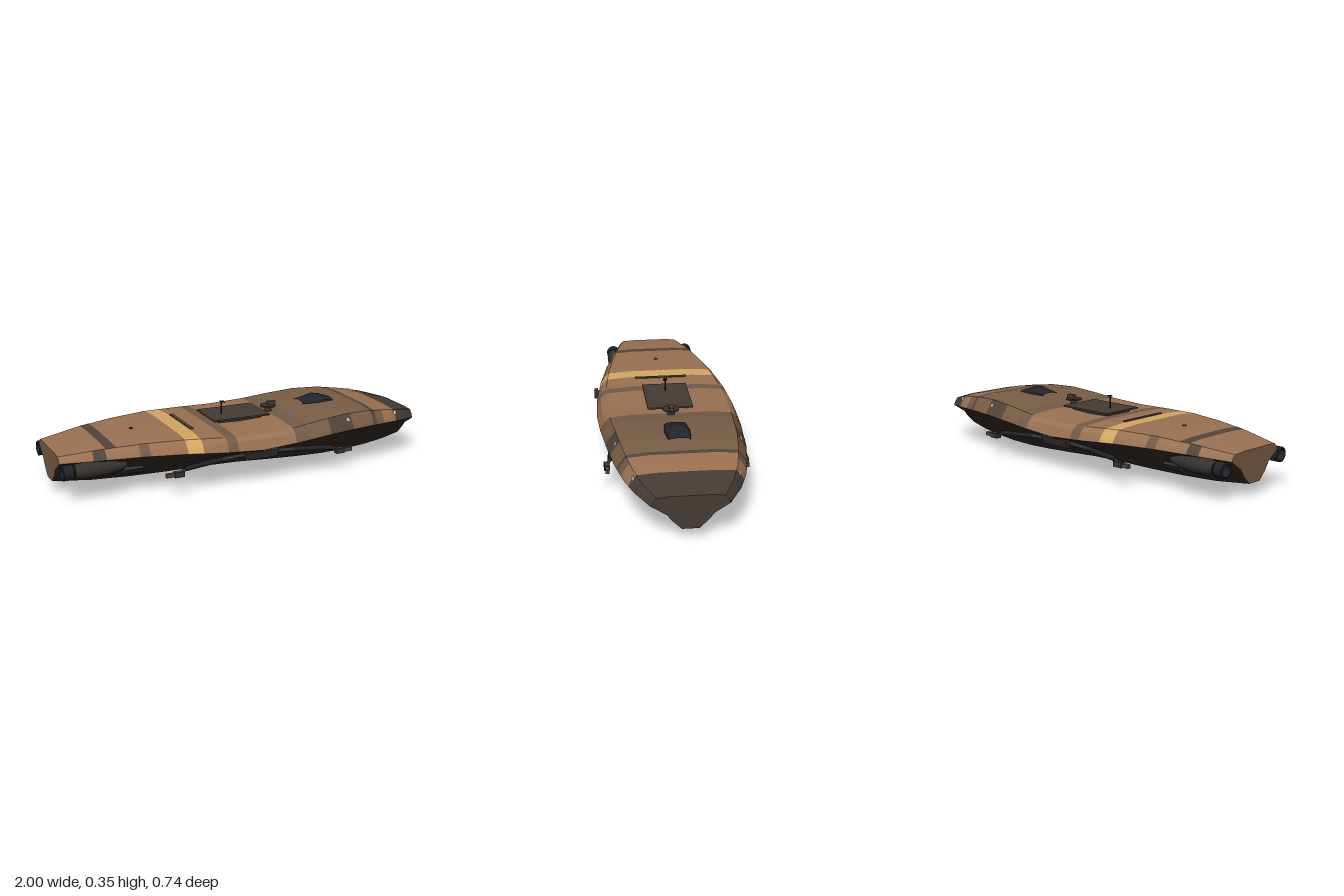
import * as THREE from 'three';
import { toCreasedNormals } from 'three/addons/utils/BufferGeometryUtils.js';

// Hull stations: x, half width, deck height, keel height, chine height, shoulder fullness
const STATIONS = [
  [-1, 0.18, 0.23, 0.065, 0.195, 0.5], [-0.8, 0.237, 0.255, 0.042, 0.203, 0.5], [-0.6, 0.283, 0.27, 0.032, 0.208, 0.5],
  [-0.4, 0.325, 0.275, 0.028, 0.206, 0.5], [-0.2, 0.355, 0.268, 0.028, 0.195, 0.58], [0, 0.368, 0.262, 0.024, 0.186, 0.66],
  [0.2, 0.362, 0.271, 0.013, 0.196, 0.52], [0.35, 0.35, 0.288, 0.006, 0.206, 0.42], [0.5, 0.337, 0.301, 0.002, 0.214, 0.4],
  [0.65, 0.317, 0.297, 0.006, 0.216, 0.42], [0.8, 0.284, 0.276, 0.02, 0.21, 0.5], [0.9, 0.245, 0.256, 0.036, 0.2, 0.5],
  [1, 0.182, 0.228, 0.06, 0.182, 0.5],
];
const CHINE = 4, SHOULDER = 7, DECK = 9; // profile point numbers

const mat = (color, side = THREE.FrontSide) => new THREE.MeshStandardMaterial({ color, side });
const BROWN = mat(0x9a7152), TAN = mat(0x7a5d45), OLIVE = mat(0x725a46), DARK = mat(0x51443a);
const GOLD = mat(0xd4a763), UNDER = mat(0x342c28), NOSE = mat(0x453b34), METAL = mat(0x35322f);
const BLACK = mat(0x202328), GLASS = mat(0x20252c, THREE.DoubleSide), LAMP = mat(0xf0ede4);

// Half cross-section (z, y) at x, from the keel out and up to the deck centre
function section(x) {
  let n = 0;
  while (n < STATIONS.length - 2 && x > STATIONS[n + 1][0]) n++;
  const A = STATIONS[n], B = STATIONS[n + 1], f = (x - A[0]) / (B[0] - A[0]);
  const [, w, t, b, c, full] = A.map((v, i) => v + (B[i] - v) * f);
  const h = t - c;
  return [[0, b], [0.04, b], [0.085, b + 0.044], [0.6 * w, b + 0.62 * (c - b)], [w, c],
    [0.985 * w, c + 0.15 * h], [0.94 * w, c + full * h], [0.86 * w, t - 0.12 * h], [0.5 * w, t], [0, t]];
}

// Skin of the hull between two x positions and two profile points, on both sides
function skin(x0, x1, i0, i1, lift = 0) {
  const xs = [x0, ...STATIONS.map(s => s[0]).filter(x => x > x0 + 1e-4 && x < x1 - 1e-4), x1];
  const pos = [];
  for (const s of [1, -1]) {
    const p = (x, i) => {
      const [z, y] = section(x)[i];
      return [x, y + lift, s * (z + (i < 8 ? lift : 0))];
    };
    for (let k = 0; k < xs.length - 1; k++) for (let i = i0; i < i1; i++) {
      const a = p(xs[k], i), b = p(xs[k + 1], i), c = p(xs[k + 1], i + 1), d = p(xs[k], i + 1);
      pos.push(...(s > 0 ? [a, b, c, a, c, d] : [a, c, b, a, d, c]).flat());
    }
  }
  return surface(pos);
}

function surface(pos) {
  const g = new THREE.BufferGeometry();
  g.setAttribute('position', new THREE.Float32BufferAttribute(pos, 3));
  return toCreasedNormals(g, 0.33);
}

// Flat end plate closing the hull
function endPlate(x, dir) {
  const half = section(x), pos = [], centre = [x, 0.16, 0];
  for (const s of [1, -1]) for (let i = 0; i < DECK; i++) {
    const a = [x, half[i][1], s * half[i][0]], b = [x, half[i + 1][1], s * half[i + 1][0]];
    pos.push(...centre, ...(s * dir > 0 ? [...b, ...a] : [...a, ...b]));
  }
  return surface(pos);
}

export function createModel() {
  const root = new THREE.Group();
  const add = (name, geo, m, x = 0, y = 0, z = 0, parent = root) => {
    const mesh = new THREE.Mesh(geo, m);
    mesh.name = name;
    mesh.position.set(x, y, z);
    parent.add(mesh);
    return mesh;
  };
  const box = (w, h, d) => new THREE.BoxGeometry(w, h, d);
  const rod = (name, r, a, b, m, parent) => {
    const A = new THREE.Vector3(...a), B = new THREE.Vector3(...b), d = B.clone().sub(A);
    const mesh = add(name, new THREE.CylinderGeometry(r, r, d.length(), 8), m, 0, 0, 0, parent);
    mesh.position.copy(A).lerp(B, 0.5);
    mesh.quaternion.setFromUnitVectors(new THREE.Vector3(0, 1, 0), d.normalize());
  };

  // Hull underside, end plates and painted deck bands
  add('underside', skin(-1, 1, 0, CHINE), UNDER);
  add('sternPlate', endPlate(-1, -1), TAN);
  add('nosePlate', endPlate(1, 1), NOSE);
  const bands = [[-1, BROWN], [-0.39, GOLD], [-0.31, BROWN], [-0.185, OLIVE],
    [-0.13, BROWN], [0.19, OLIVE], [0.27, TAN], [0.675, DARK], [0.7, BROWN], [0.84, NOSE], [1]];
  for (let i = 0; i < bands.length - 1; i++)
    add('deckBand', skin(bands[i][0], bands[i + 1][0], CHINE, DECK), bands[i][1]);
  add('sternStripe', skin(-0.775, -0.725, SHOULDER, DECK, 0.001), DARK);

  // Small plates on the sloping flanks
  for (const [a, b, m] of [[-0.84, -0.78, DARK], [-0.62, -0.57, OLIVE], [0.4, 0.54, DARK], [0.7, 0.75, OLIVE]])
    add('flankPlate', skin(a, b, CHINE, SHOULDER, 0.001), m);

  // Deck fittings
  add('deckVent', box(0.018, 0.008, 0.28), DARK, -0.295, 0.272, 0);
  add('deckCap', new THREE.CylinderGeometry(0.01, 0.01, 0.006, 10), DARK, -0.57, 0.272, 0);
  add('hatchBase', box(0.25, 0.024, 0.17), METAL, 0, 0.27, 0);
  add('hatchPlate', box(0.315, 0.008, 0.235), NOSE, 0, 0.285, -0.003);
  add('mast', new THREE.CylinderGeometry(0.004, 0.004, 0.07, 8), BLACK, -0.068, 0.318, 0);
  add('mastHead', box(0.02, 0.006, 0.02), BLACK, -0.063, 0.352, 0);
  add('turretPost', new THREE.CylinderGeometry(0.016, 0.02, 0.034, 12), METAL, 0.203, 0.284, 0);
  add('turretDisc', new THREE.CylinderGeometry(0.042, 0.042, 0.008, 20), METAL, 0.203, 0.3, 0);
  add('turretHead', box(0.045, 0.016, 0.022), DARK, 0.221, 0.314, 0);

  // Canopy: open shell of arched sections rising to a ridge
  const ribs = [[0.385, 0.054, 0.011], [0.44, 0.061, 0.024], [0.48, 0.065, 0.036], [0.52, 0.061, 0.027], [0.57, 0.054, 0.01]];
  const arc = ribs.map(([x, w, h]) => Array.from({ length: 9 }, (_, j) => {
    const a = Math.PI * j / 8;
    return [x, 0.299 + h * Math.sin(a), w * Math.cos(a)];
  }));
  const pos = [];
  for (let k = 0; k < 4; k++) for (let j = 0; j < 8; j++) {
    const a = arc[k][j], b = arc[k + 1][j], c = arc[k + 1][j + 1], d = arc[k][j + 1];
    pos.push(...a, ...b, ...c, ...a, ...c, ...d);
  }
  add('canopy', surface(pos), GLASS);

  // Everything carried on the flanks, mirrored
  for (const s of [1, -1]) {
    // Engine pod and nozzle
    const pod = new THREE.Group();
    pod.name = 'engine';
    pod.position.set(0, 0.16, s * 0.216);
    root.add(pod);
    const turn = pts => toCreasedNormals(
      new THREE.LatheGeometry(pts.map(p => new THREE.Vector2(...p)), 16).rotateZ(-Math.PI / 2), 0.5);
    add('podBody', turn([[0, -0.938], [0.036, -0.938], [0.04, -0.9], [0.04, -0.81],
      [0.034, -0.74], [0.012, -0.67], [0, -0.665]]), METAL, 0, 0, 0, pod);
    add('nozzle', turn([[0, -0.96], [0.026, -0.96], [0.03, -1], [0.038, -0.997],
      [0.038, -0.948], [0.026, -0.936], [0, -0.936]]), BLACK, 0, 0, 0, pod);

    // Weapon mount with two swept arms
    const mount = add('armMount', box(0.18, 0.042, 0.05), METAL, 0.01, 0.157, s * 0.308);
    mount.rotation.x = s * 0.3;
    for (const e of [1, -1]) {
      const arm = new THREE.Group();
      arm.name = 'weaponArm';
      root.add(arm);
      rod('innerStrut', 0.011, [e * 0.08, 0.153, s * 0.305], [e * 0.2, 0.146, s * 0.305], METAL, arm);
      rod('outerStrut', 0.0135, [e * 0.18, 0.147, s * 0.3], [e * 0.41, 0.134, s * 0.326], BLACK, arm);
      rod('wrist', 0.008, [e * 0.4, 0.134, s * 0.325], [e * 0.45, 0.121, s * 0.343], METAL, arm);
      add('gunBody', box(0.05, 0.027, 0.028), METAL, e * 0.45, 0.118, s * 0.345, arm);
      add('gunBarrel', box(0.045, 0.019, 0.019), DARK, e * 0.495, 0.118, s * 0.345, arm);
    }

    // Side lamps and lower vent
    add('sideLamp', box(0.018, 0.024, 0.008), LAMP, 0.515, 0.262, s * 0.306);
    add('sideLamp', box(0.016, 0.026, 0.008), LAMP, 0.84, 0.246, s * 0.247);
    const vent = add('lowerVent', box(0.1, 0.045, 0.02), METAL, -0.61, 0.096, s * 0.128);
    vent.rotation.x = s * 0.75;
  }
  return root;
}
